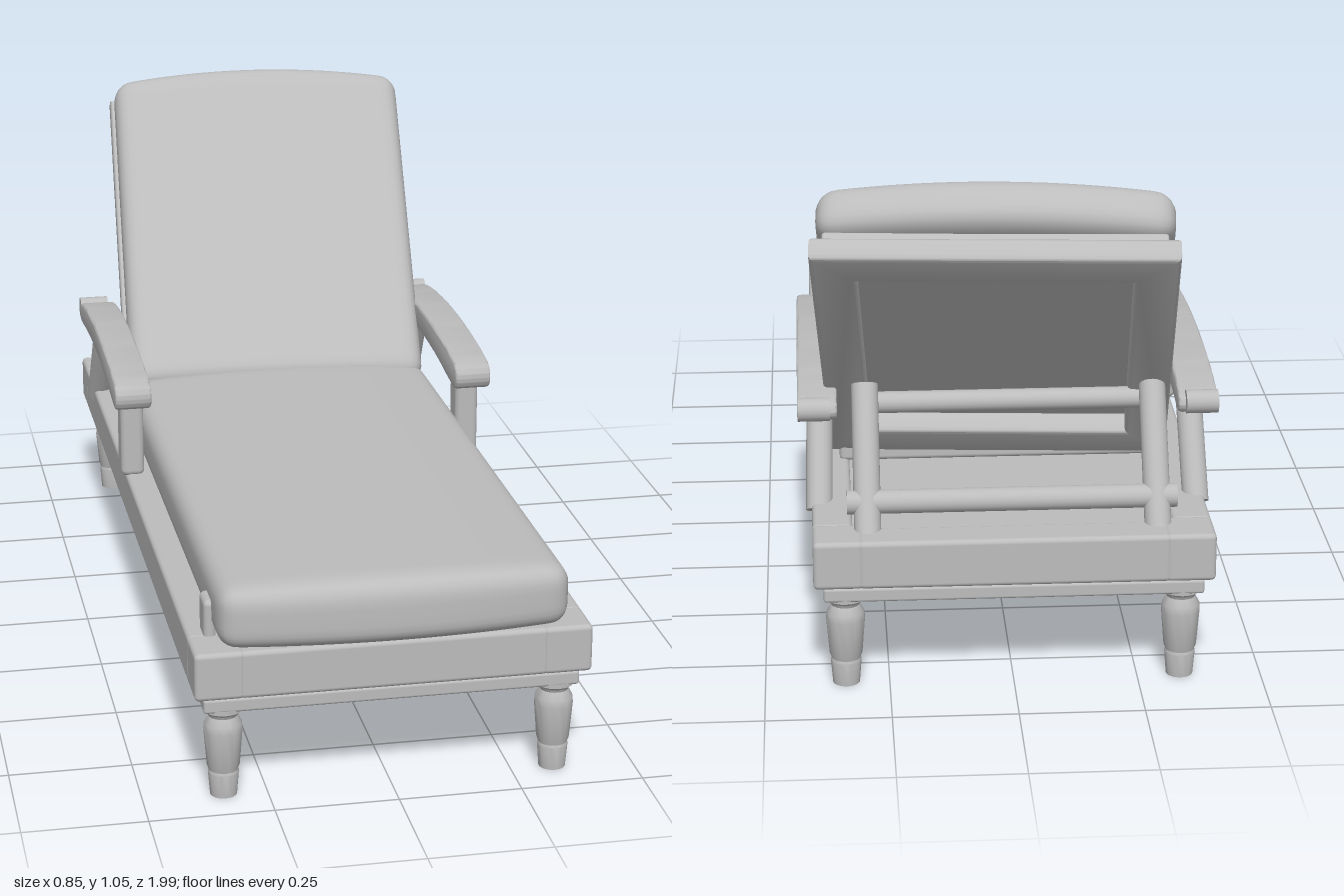
import * as THREE from 'three';
import { mergeVertices, toCreasedNormals } from 'three/addons/utils/BufferGeometryUtils.js';
import { RoundedBoxGeometry } from 'three/addons/geometries/RoundedBoxGeometry.js';

const grey = new THREE.MeshStandardMaterial({ color: 0xbcbcbc });
grey.name = 'plain grey';

function add(parent, name, geometry, x = 0, y = 0, z = 0) {
  const mesh = new THREE.Mesh(geometry, grey);
  mesh.name = name;
  mesh.position.set(x, y, z);
  parent.add(mesh);
  return mesh;
}

const block = (w, h, d, r = 0.01) => new RoundedBoxGeometry(w, h, d, 3, r);

// Round bar between two points
function bar(parent, name, a, b, r) {
  const from = new THREE.Vector3(...a), to = new THREE.Vector3(...b);
  const dir = to.clone().sub(from);
  const mesh = add(parent, name, new THREE.CylinderGeometry(r, r, dir.length(), 20));
  mesh.position.copy(from).add(to).multiplyScalar(0.5);
  mesh.quaternion.setFromUnitVectors(new THREE.Vector3(0, 1, 0), dir.normalize());
  return mesh;
}

// Soft cushion lying flat: rounded edges, crowned top, one end bowed outward (+z)
function cushion(w, h, d, r, crown, bow) {
  const box = new THREE.BoxGeometry(w, h, d, 28, 14, 28);
  box.deleteAttribute('uv');
  box.deleteAttribute('normal');
  const g = mergeVertices(box, 1e-5);
  const pos = g.attributes.position;
  const half = [w / 2, h / 2, d / 2];
  const p = new THREE.Vector3(), core = new THREE.Vector3();
  for (let i = 0; i < pos.count; i++) {
    p.fromBufferAttribute(pos, i);
    // Crowd the grid towards the edges
    p.fromArray(p.toArray().map((v, k) => {
      const t = Math.min(1, Math.abs(v) / half[k]);
      return Math.sign(v) * half[k] * (1 - (1 - t) ** 2);
    }));
    core.fromArray(p.toArray().map((v, k) => THREE.MathUtils.clamp(v, r - half[k], half[k] - r)));
    p.sub(core).normalize().multiplyScalar(r).add(core);
    const sx = 1 - (p.x / half[0]) ** 2, sz = p.z / half[2];
    if (p.y > 0) p.y += crown * sx * (p.y / half[1]);
    if (sz > 0) p.z += bow * sx * sz ** 4;
    pos.setXYZ(i, p.x, p.y, p.z);
  }
  g.computeVertexNormals();
  return g;
}

function addBase(model) {
  const base = new THREE.Group();
  base.name = 'base';
  model.add(base);
  const zc = 0.035;

  // Apron under the frame
  add(base, 'apronMoulding', block(0.76, 0.03, 1.81, 0.006), 0, 0.204, zc);
  add(base, 'apron', block(0.745, 0.03, 1.79, 0.004), 0, 0.22, zc);
  add(base, 'deck', new THREE.BoxGeometry(0.7, 0.07, 1.75), 0, 0.27, zc);

  // Frame rails and corner blocks
  add(base, 'frontRail', block(0.62, 0.1, 0.08), 0, 0.275, 0.92);
  add(base, 'backRail', block(0.62, 0.1, 0.08), 0, 0.275, -0.85);
  const profile = [[0, 0], [0.027, 0], [0.031, 0.05], [0.029, 0.055], [0.033, 0.065],
    [0.039, 0.14], [0.038, 0.155], [0.029, 0.172], [0.031, 0.178], [0.04, 0.185], [0.04, 0.195]];
  for (const s of [-1, 1]) {
    add(base, 'sideRail', block(0.08, 0.1, 1.67), s * 0.36, 0.275, zc);
    for (const [z, legZ] of [[0.91, 0.905], [-0.84, -0.83]]) {
      add(base, 'cornerBlock', block(0.1, 0.1, 0.1), s * 0.35, 0.275, z);
      const lathe = new THREE.LatheGeometry(profile.map(([r, y]) => new THREE.Vector2(r, y)), 24);
      add(base, 'leg', toCreasedNormals(lathe, 0.6), s * 0.337, 0, legZ);
    }
    // Stops that hold the cushion in place
    add(base, 'cushionStop', block(0.025, 0.09, 0.065, 0.012), s * 0.355, 0.355, 0.84);
  }
  add(base, 'hingeRail', block(0.68, 0.05, 0.1), 0, 0.345, -0.39);
}

function addArms(model) {
  // Arched armrest drawn in side profile, x of the shape being z
  const shape = new THREE.Shape();
  shape.moveTo(0.0, 0.515);
  shape.quadraticCurveTo(0.004, 0.54, -0.03, 0.547);
  shape.bezierCurveTo(-0.2, 0.572, -0.45, 0.572, -0.6, 0.547);
  shape.quadraticCurveTo(-0.67, 0.535, -0.67, 0.52);
  shape.quadraticCurveTo(-0.67, 0.495, -0.61, 0.505);
  shape.bezierCurveTo(-0.45, 0.526, -0.25, 0.526, -0.1, 0.503);
  shape.lineTo(-0.03, 0.496);
  shape.quadraticCurveTo(-0.002, 0.495, 0.0, 0.515);
  const g = new THREE.ExtrudeGeometry(shape, {
    depth: 0.064, bevelThickness: 0.008, bevelSize: 0.006, bevelSegments: 3, curveSegments: 16,
  });
  g.translate(0, 0, -0.032);
  g.rotateY(-Math.PI / 2);
  const armGeometry = toCreasedNormals(g, 0.7);

  for (const s of [-1, 1]) {
    const arm = new THREE.Group();
    arm.name = s > 0 ? 'leftArm' : 'rightArm';
    model.add(arm);
    add(arm, 'armrest', armGeometry, s * 0.386);
    add(arm, 'armPost', block(0.052, 0.2, 0.066, 0.014), s * 0.384, 0.42, -0.075);
    bar(arm, 'armStrut', [s * 0.38, 0.53, -0.53], [s * 0.385, 0.305, -0.665], 0.027);
    bar(arm, 'armPin', [s * 0.36, 0.525, -0.67], [s * 0.425, 0.525, -0.67], 0.024);
  }
}

function addBack(model) {
  // The backrest is swivelled slightly to one side, then reclined
  const swivel = new THREE.Group();
  swivel.name = 'backrest';
  swivel.position.z = -0.345;
  swivel.rotation.y = -0.075;
  model.add(swivel);
  const back = new THREE.Group();
  back.name = 'recliningBack';
  back.position.z = 0.345;
  back.rotation.x = -0.72;
  swivel.add(back);

  // Cushion stood on end, bowed edge at the top
  const g = cushion(0.69, 0.1, 0.8, 0.04, 0.012, 0.03);
  g.rotateX(Math.PI / 2);
  g.rotateZ(Math.PI);
  g.computeBoundingBox();
  if (g.boundingBox.max.y < -g.boundingBox.min.y) g.rotateZ(Math.PI);
  // Keep the crowned face to the front
  g.computeBoundingBox();
  if (g.boundingBox.max.z < -g.boundingBox.min.z) g.scale(1, 1, 1).rotateY(Math.PI);
  add(back, 'backCushion', g, 0, 0.935, 0.003);

  // Frame with an opening and a recessed panel
  const outline = (w, y0, y1, Type) => new Type([[-w, y0], [w, y0], [w, y1], [-w, y1]]
    .map(([x, y]) => new THREE.Vector2(x, y)));
  const ring = outline(0.342, 0.565, 1.332, THREE.Shape);
  ring.holes.push(outline(0.275, 0.635, 1.265, THREE.Path));
  const frame = new THREE.ExtrudeGeometry(ring, {
    depth: 0.03, bevelThickness: 0.01, bevelSize: 0.01, bevelSegments: 3,
  });
  add(back, 'backFrame', toCreasedNormals(frame, 0.6), 0, 0, -0.108);
  add(back, 'backPanel', block(0.66, 0.74, 0.03, 0.006), 0, 0.95, -0.058);

  // Prop that holds the back up
  const prop = new THREE.Group();
  prop.name = 'prop';
  model.add(prop);
  for (const s of [-1, 1]) {
    bar(prop, 'propLeg', [s * 0.29, 0.575, -0.665], [s * 0.29, 0.305, -0.825], 0.027);
  }
  bar(prop, 'propTopBar', [-0.31, 0.53, -0.65], [0.31, 0.53, -0.65], 0.022);
  bar(prop, 'propLowerBar', [-0.33, 0.37, -0.787], [0.33, 0.37, -0.787], 0.024);
}

export function createModel() {
  const model = new THREE.Group();
  model.name = 'sunLounger';
  addBase(model);

  // Seat cushion, thinning slightly towards the back
  const seat = add(model, 'seatCushion', cushion(0.705, 0.125, 1.33, 0.04, 0.016, 0.035), 0, 0.385, 0.3);
  seat.rotation.x = -0.008;

  addArms(model);
  addBack(model);
  return model;
}
